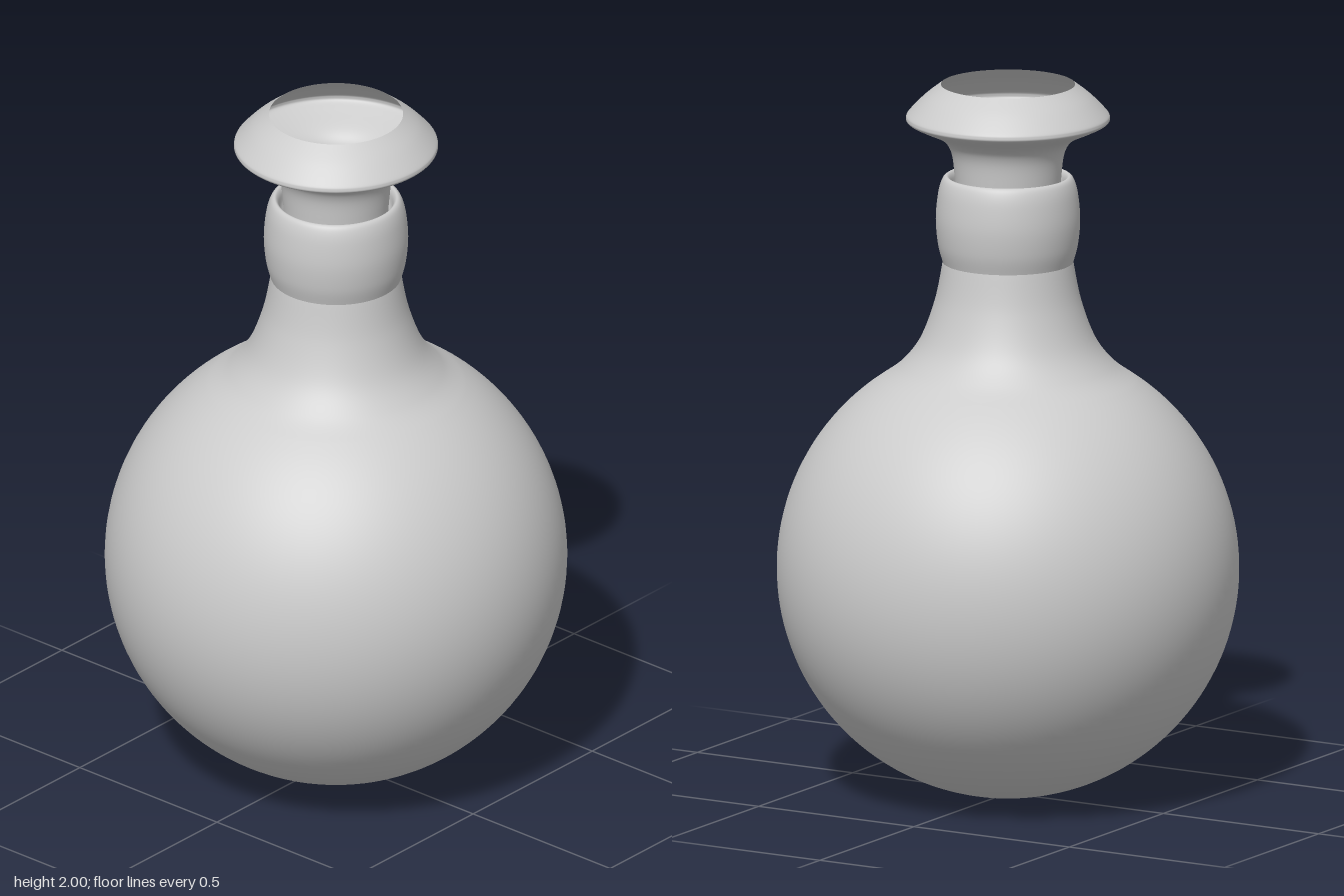
import * as THREE from 'three';

const SEGMENTS = 96;
const material = new THREE.MeshStandardMaterial({ color: 0xcccccc, side: THREE.DoubleSide });

const toPoints = (pairs) => pairs.map(([r, y]) => new THREE.Vector2(r, y));

// Smooth profile through a few [radius, height] points
const smooth = (pairs, n) => new THREE.SplineCurve(toPoints(pairs)).getPoints(n);

function turned(name, profile) {
  const mesh = new THREE.Mesh(new THREE.LatheGeometry(profile, SEGMENTS), material);
  mesh.name = name;
  return mesh;
}

export function createModel() {
  const group = new THREE.Group();
  group.name = 'flask';

  // Round body, a thin hollow shell that runs smoothly into the neck
  const R = 0.637;
  const endAngle = Math.PI - Math.asin(0.36 / R);
  const body = [];
  for (let i = 0; i <= 56; i++) {
    const a = (endAngle * i) / 56;
    body.push(new THREE.Vector2(R * Math.sin(a), R - R * Math.cos(a)));
  }
  const last = body[body.length - 1];
  const neck = smooth([
    [last.x, last.y], [0.298, 1.209], [0.243, 1.28], [0.202, 1.39], [0.18, 1.5],
  ], 32);
  group.add(turned('bodyAndNeck', [...body, ...neck.slice(1)]));

  // Bulged collar whose rounded rim rolls inward to the stem
  group.add(turned('collar', smooth([
    [0.18, 1.5], [0.193, 1.55], [0.199, 1.62], [0.193, 1.69], [0.182, 1.73],
    [0.169, 1.742], [0.159, 1.73], [0.154, 1.70], [0.143, 1.675],
  ], 48)));

  // Hollow flared mouth: stem, trumpet underside, rounded lip and sloped top
  const flare = smooth([
    [0.143, 1.675], [0.147, 1.74], [0.157, 1.81], [0.185, 1.85], [0.25, 1.882],
    [0.277, 1.896], [0.281, 1.907], [0.273, 1.921], [0.232, 1.963], [0.185, 2.0],
  ], 60);
  group.add(turned('flaredMouth', flare));

  return group;
}
